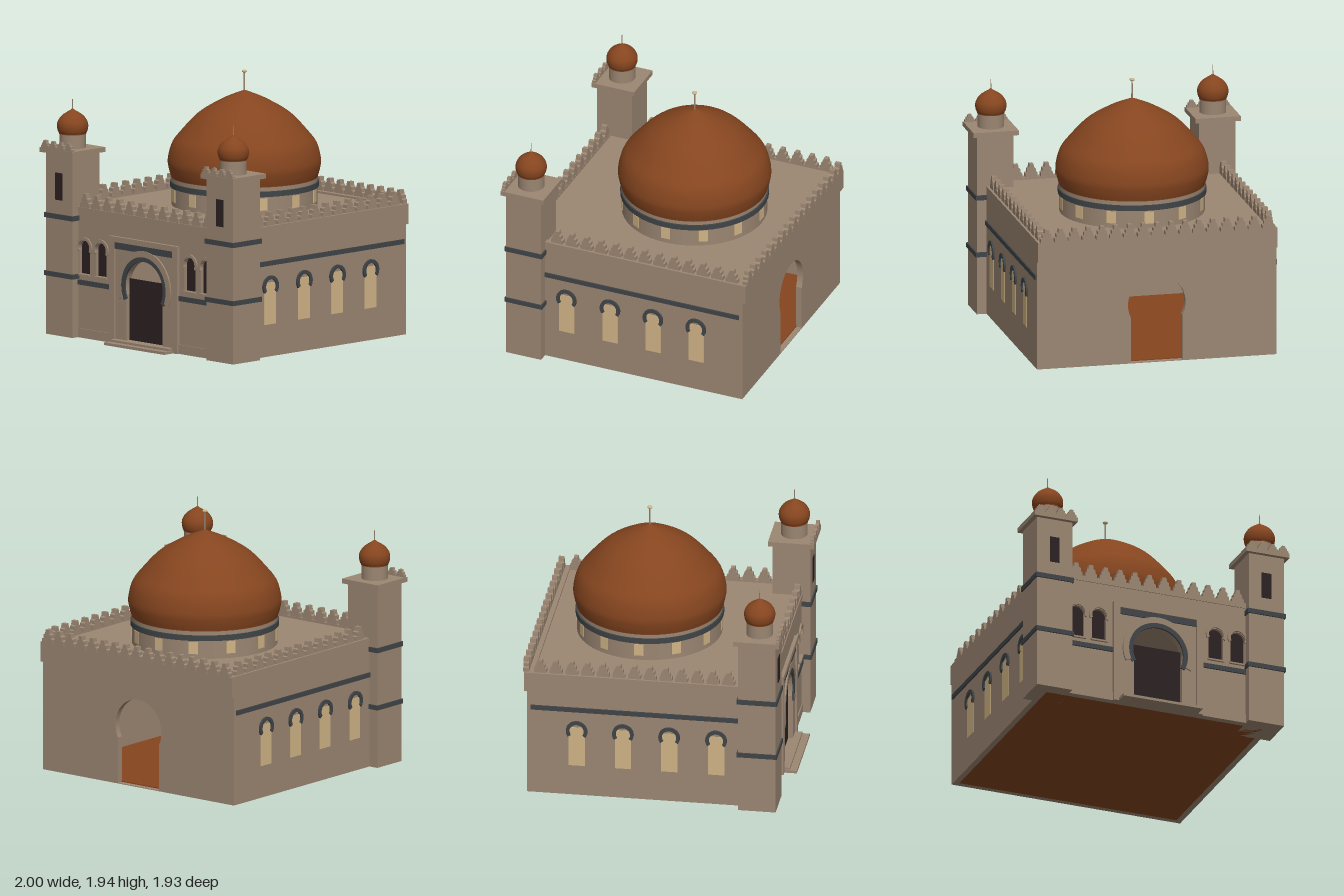
import * as THREE from 'three';

const mat = (name, color) => new THREE.MeshStandardMaterial({ name, color });

export function createModel() {
  const stone = mat('stone', 0x9b8672);
  const clay = mat('terracotta', 0x85451f);
  const slate = mat('slate', 0x404547);
  const dark = mat('darkOpening', 0x2c2222);
  const cream = mat('creamGlass', 0xd0b486);
  const model = new THREE.Group();
  model.name = 'domedBuilding';

  const add = (name, geo, material, x = 0, y = 0, z = 0, parent = model) => {
    const m = new THREE.Mesh(geo, material);
    m.name = name;
    m.position.set(x, y, z);
    parent.add(m);
    return m;
  };
  // Box given by its min and max on each axis
  const box = (name, material, [x0, x1], [y0, y1], [z0, z1], parent = model) =>
    add(name, new THREE.BoxGeometry(x1 - x0, y1 - y0, z1 - z0), material,
      (x0 + x1) / 2, (y0 + y1) / 2, (z0 + z1) / 2, parent);
  const extrude = (shape, depth) =>
    new THREE.ExtrudeGeometry(shape, { depth, bevelEnabled: false, curveSegments: 28 });
  const rect = (x0, x1, y0, y1) => new THREE.Shape([[x0, y0], [x1, y0], [x1, y1], [x0, y1]]
    .map(([x, y]) => new THREE.Vector2(x, y)));
  // Opening with straight jambs and a horseshoe head
  const horseshoe = (cx, bottom, cy, r, hw) => {
    const p = new THREE.Shape();
    const a = Math.acos(Math.min(1, hw / r));
    p.moveTo(cx - hw, bottom);
    p.lineTo(cx + hw, bottom);
    p.absarc(cx, cy, r, -a, Math.PI + a, false);
    p.closePath();
    return p;
  };
  // Arch moulding reaching an angle a below the springing line
  const archRing = (inner, outer, a, depth) => {
    const s = new THREE.Shape();
    s.absarc(0, 0, outer, -a, Math.PI + a, false);
    s.absarc(0, 0, inner, Math.PI + a, -a, true);
    s.closePath();
    return extrude(s, depth);
  };
  const lathe = (points, segments = 64) => {
    const curve = new THREE.SplineCurve(points.map(([x, y]) => new THREE.Vector2(x, y)));
    const pts = curve.getPoints(36);
    pts.forEach(p => { p.x = Math.max(0, p.x); });
    return new THREE.LatheGeometry(pts, segments);
  };

  // Stepped battlement block, base at y = 0
  const half = [[0.046, 0], [0.046, 0.03], [0.033, 0.037], [0.033, 0.062], [0.019, 0.07], [0.015, 0.1]];
  const merlonShape = new THREE.Shape([...half, ...half.map(([x, y]) => [-x, y]).reverse()]
    .map(([x, y]) => new THREE.Vector2(x, y)));
  const merlonGeo = extrude(merlonShape, 0.042).translate(0, 0, -0.021);
  const merlonRow = (name, length, count, x, y, z, turn = 0, scale = [1, 1, 1], parent = model) => {
    const g = new THREE.Group();
    g.name = name;
    g.position.set(x, y, z);
    g.rotation.y = turn;
    for (let i = 0; i < count; i++) {
      add('merlon', merlonGeo, stone, -length / 2 + (length * (i + 0.5)) / count, 0, 0, g).scale.set(...scale);
    }
    parent.add(g);
  };

  // Hollow body: pierced front and back walls, sides, floor and roof
  const windowXs = [-0.628, -0.458, 0.458, 0.628];
  const front = rect(-0.86, 0.86, 0, 0.96);
  front.holes.push(horseshoe(0, 0.005, 0.44, 0.198, 0.187));
  windowXs.forEach(x => front.holes.push(horseshoe(x, 0.47, 0.66, 0.057, 0.055)));
  add('frontWall', extrude(front, 0.045), stone, 0, 0, 0.8);
  const back = rect(-0.895, 0.895, 0, 0.96);
  back.holes.push(horseshoe(0, 0.005, 0.44, 0.215, 0.192));
  add('backWall', extrude(back, 0.045), stone, 0, 0, -0.93);
  box('floor', clay, [-0.852, 0.852], [0, 0.012], [-0.888, 0.803]);
  box('roof', stone, [-0.855, 0.855], [0.9, 0.945], [-0.89, 0.805]);
  box('backCornice', stone, [-0.895, 0.895], [0.81, 0.96], [-0.955, -0.925]);
  box('frontCornice', stone, [-0.7, 0.7], [0.92, 0.961], [0.8, 0.851]);
  merlonRow('frontMerlons', 1.38, 12, 0, 0.96, 0.823);
  merlonRow('backMerlons', 1.76, 17, 0, 0.958, -0.942);

  // Side walls with band and four windows each
  const sideRing = archRing(0.053, 0.079, 0.62, 0.02);
  for (const s of [-1, 1]) {
    const side = new THREE.Group();
    side.name = s > 0 ? 'leftSide' : 'rightSide';
    model.add(side);
    const xs = (a, b) => (s > 0 ? [a, b] : [-b, -a]);
    box('sideWall', stone, xs(0.85, 0.895), [0, 0.96], [-0.929, 0.84], side);
    box('sideBand', slate, xs(0.88, 0.906), [0.67, 0.705], [-0.905, 0.66], side);
    for (const z of [0.46, 0.115, -0.225, -0.565]) {
      box('sideWindow', cream, xs(0.892, 0.899), [0.237, 0.545], [z - 0.06, z + 0.06], side);
      add('sideWindowArch', sideRing, slate, s * 0.89, 0.517, z, side).rotation.y = s * Math.PI / 2;
    }
    merlonRow('sideMerlons', 1.5, 13, s * 0.857, 0.958, -0.145, Math.PI / 2, [1, 1, 1], side);
  }

  // Front windows, bands and plinths
  const frontRing = archRing(0.057, 0.079, 0.45, 0.014);
  for (const x of windowXs) {
    box('frontWindow', dark, [x - 0.06, x + 0.06], [0.465, 0.725], [0.812, 0.819]);
    add('frontWindowArch', frontRing, stone, x, 0.666, 0.843);
    box('frontWindowSill', stone, [x - 0.065, x + 0.065], [0.457, 0.47], [0.84, 0.86]);
  }
  for (const [a, b] of [[-0.7, -0.345], [0.345, 0.7]]) {
    box('frontBand', slate, [a, b], [0.39, 0.426], [0.84, 0.857]);
    box('frontPlinth', stone, [a, b], [0, 0.068], [0.84, 0.853]);
  }

  // Entrance portal
  const panel = rect(-0.305, 0.305, 0, 0.755);
  panel.holes.push(horseshoe(0, 0.005, 0.44, 0.198, 0.187));
  add('portalPanel', extrude(panel, 0.014), stone, 0, 0, 0.843);
  const frame = rect(-0.35, 0.35, 0, 0.79);
  frame.holes.push(rect(-0.3, 0.3, 0.003, 0.75));
  add('portalFrame', extrude(frame, 0.032), stone, 0, 0, 0.84);
  box('portalBand', slate, [-0.3, 0.3], [0.7, 0.748], [0.85, 0.865]);
  add('portalInnerArch', archRing(0.197, 0.232, 0.48, 0.014), slate, 0, 0.44, 0.852);
  add('portalOuterArch', archRing(0.231, 0.277, 0.39, 0.018), stone, 0, 0.44, 0.852);
  box('door', dark, [-0.19, 0.19], [0.01, 0.49], [0.815, 0.823]);
  box('doorStepLower', stone, [-0.31, 0.31], [0, 0.02], [0.81, 0.963]);
  box('doorStepUpper', stone, [-0.3, 0.3], [0.02, 0.036], [0.81, 0.91]);

  // Corner towers with small onion domes
  const smallDome = lathe([[0.098, 1.478], [0.109, 1.5], [0.114, 1.535], [0.107, 1.568], [0.082, 1.605],
    [0.045, 1.632], [0.018, 1.648], [0, 1.663]], 40);
  for (const s of [-1, 1]) {
    const t = new THREE.Group();
    t.name = s > 0 ? 'leftTower' : 'rightTower';
    t.position.set(s * 0.83, 0, 0.77);
    model.add(t);
    const block = (name, m, h, y0, y1) => box(name, m, [-h, h], [y0, y1], [-h, h], t);
    block('towerShaft', stone, 0.138, 0, 1.345);
    block('lowerTowerBand', slate, 0.148, 0.432, 0.467);
    block('upperTowerBand', slate, 0.148, 0.86, 0.896);
    block('towerCap', stone, 0.169, 1.34, 1.375);
    box('towerWindow', dark, [-0.037, 0.037], [1, 1.2], [0.135, 0.142], t);
    merlonRow('towerMerlons', 0.325, 4, 0, 1.374, 0.154, 0, [0.82, 0.56, 0.62], t);
    add('turretDrum', new THREE.CylinderGeometry(0.097, 0.097, 0.112, 24), stone, 0, 1.428, 0, t);
    add('turretDome', smallDome, clay, 0, 0, 0, t);
    add('turretDomeBase', new THREE.CylinderGeometry(0.1, 0.1, 0.006, 40), clay, 0, 1.479, 0, t);
    add('turretSpike', new THREE.CylinderGeometry(0.003, 0.004, 0.08, 8), stone, 0, 1.69, 0, t);
  }

  // Great dome on a drum with twelve windows
  const dome = new THREE.Group();
  dome.name = 'greatDome';
  dome.position.z = -0.165;
  model.add(dome);
  add('drum', new THREE.CylinderGeometry(0.53, 0.53, 0.215, 48), stone, 0, 1.0475, 0, dome);
  add('drumBand', new THREE.CylinderGeometry(0.541, 0.541, 0.04, 48), slate, 0, 1.1, 0, dome);
  for (let i = 0; i < 12; i++) {
    const a = (i * Math.PI) / 6;
    add('drumWindow', new THREE.BoxGeometry(0.07, 0.09, 0.008), cream,
      Math.sin(a) * 0.529, 1.025, Math.cos(a) * 0.529, dome).rotation.y = a;
  }
  add('domeShell', lathe([[0.533, 1.15], [0.55, 1.21], [0.557, 1.28], [0.529, 1.39], [0.468, 1.475],
    [0.337, 1.613], [0.176, 1.712], [0.07, 1.76], [0, 1.787]]), clay, 0, 0, 0, dome);
  add('domeBase', new THREE.CylinderGeometry(0.534, 0.534, 0.006, 64), clay, 0, 1.153, 0, dome);
  add('finialStem', new THREE.CylinderGeometry(0.005, 0.006, 0.15, 10), stone, 0, 1.85, 0, dome);
  add('finialBall', new THREE.SphereGeometry(0.019, 16, 10), cream, 0, 1.924, 0, dome).scale.y = 0.6;

  return model;
}
